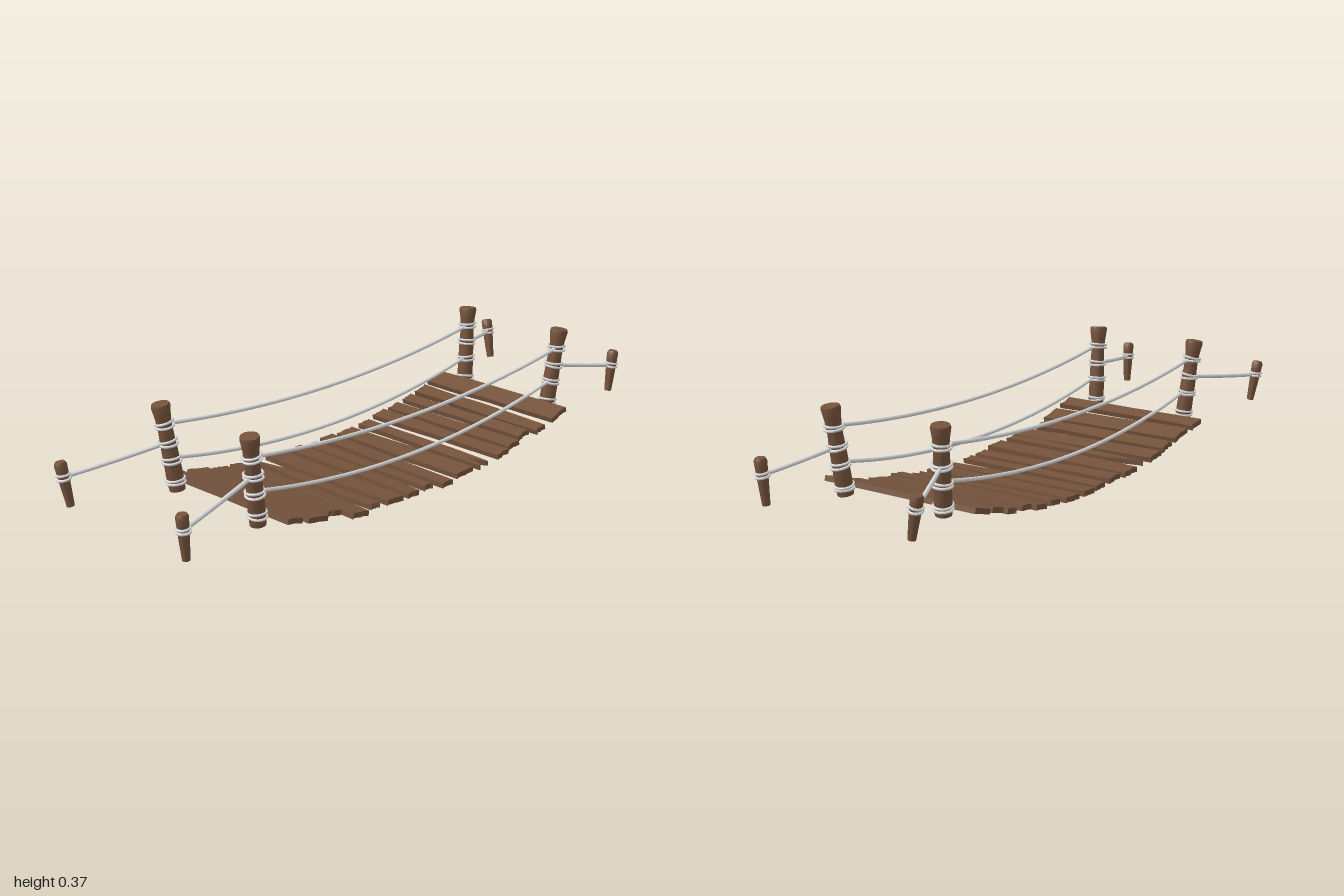
import * as THREE from 'three';
import { toCreasedNormals } from 'three/addons/utils/BufferGeometryUtils.js';

const wood = new THREE.MeshStandardMaterial({ color: 0x75533c });
wood.name = 'brown wood';
const rope = new THREE.MeshStandardMaterial({ color: 0xdadcdd });
rope.name = 'pale grey rope';

const UP = new THREE.Vector3(0, 1, 0);
const V = (a) => new THREE.Vector3(...a);

let seed = 11;
const jitter = (amount) => {
  seed = (seed * 16807) % 2147483647;
  return (seed / 2147483647 - 0.5) * 2 * amount;
};

function add(parent, name, geometry, material) {
  const mesh = new THREE.Mesh(geometry, material);
  mesh.name = name;
  parent.add(mesh);
  return mesh;
}

// Round timber leaning from a to b; profile is [radius, fraction of length]
function timber(parent, name, a, b, profile) {
  const length = a.distanceTo(b);
  const points = profile.map(([r, t]) => new THREE.Vector2(r, t * length));
  const geo = toCreasedNormals(new THREE.LatheGeometry(points, 14), 0.7);
  const mesh = add(parent, name, geo, wood);
  mesh.position.copy(a);
  mesh.quaternion.setFromUnitVectors(UP, b.clone().sub(a).normalize());
}

// Point on the line a-b at a given height
function atHeight(a, b, y) {
  return a.clone().lerp(b, (y - a.y) / (b.y - a.y));
}

// Two slightly crossed loops wound round a timber
function lashing(parent, a, b, y, radius) {
  const axis = b.clone().sub(a).normalize();
  for (const s of [-1, 1]) {
    const geo = new THREE.TorusGeometry(radius, 0.0042, 6, 20);
    geo.rotateX(Math.PI / 2 + jitter(0.1));
    geo.rotateZ(s * 0.05 + jitter(0.06));
    const ring = add(parent, 'lashing', geo, rope);
    ring.position.copy(atHeight(a, b, y + s * 0.006));
    ring.quaternion.setFromUnitVectors(UP, axis);
  }
}

// Rope from a to b hanging down by sag in the middle
function hangRope(parent, name, a, b, sag, radius) {
  const points = [];
  for (let i = 0; i <= 8; i++) {
    const t = i / 8;
    const p = a.clone().lerp(b, t);
    p.y -= sag * 4 * t * (1 - t);
    points.push(p);
  }
  const curve = new THREE.CatmullRomCurve3(points);
  add(parent, name, new THREE.TubeGeometry(curve, sag > 0.01 ? 28 : 4, radius, 8), rope);
}

const POST = [[0, 0], [0.025, 0], [0.027, 0.12], [0.0255, 0.45], [0.0225, 0.75],
  [0.0255, 0.86], [0.03, 0.97], [0.028, 1], [0, 1]];
const STAKE = [[0, 0], [0.012, 0], [0.0155, 0.4], [0.0185, 0.8], [0.0195, 0.94], [0.015, 1], [0, 1]];

// Corner timbers: post bottom and top, stake bottom and top
const CORNERS = [
  { post: [[-0.158, 0.08, 0.63], [-0.179, 0.36, 0.666]], stake: [[-0.245, 0.102, 0.962], [-0.263, 0.241, 0.978]] },
  { post: [[0.2, 0.075, 0.628], [0.215, 0.363, 0.666]], stake: [[0.28, 0.102, 0.965], [0.283, 0.243, 0.977]] },
  { post: [[-0.16, 0.085, -0.705], [-0.18, 0.358, -0.738]], stake: [[-0.258, 0.102, -0.965], [-0.293, 0.236, -0.98]] },
  { post: [[0.2, 0.085, -0.715], [0.214, 0.36, -0.754]], stake: [[0.277, 0.102, -0.966], [0.28, 0.245, -0.98]] },
];

// Planks, back to front: z, y, depth, left x, right x, roll
const PLANKS = [
  [-0.65, 0.099, 0.082, -0.257, 0.307, 0.003], [-0.56, 0.074, 0.05, -0.246, 0.304, -0.008],
  [-0.495, 0.06, 0.048, -0.25, 0.283, 0.008], [-0.426, 0.048, 0.046, -0.246, 0.294, -0.005],
  [-0.357, 0.038, 0.048, -0.257, 0.307, 0.008], [-0.273, 0.025, 0.048, -0.246, 0.296, -0.006],
  [-0.185, 0.019, 0.07, -0.25, 0.29, 0.006], [-0.098, 0.014, 0.056, -0.255, 0.296, -0.014],
  [-0.02, 0.017, 0.046, -0.246, 0.284, 0.006], [0.053, 0.021, 0.052, -0.25, 0.288, -0.008],
  [0.145, 0.026, 0.066, -0.256, 0.296, 0.006], [0.23, 0.031, 0.038, -0.243, 0.29, 0.008],
  [0.305, 0.036, 0.066, -0.25, 0.304, -0.008], [0.387, 0.052, 0.053, -0.243, 0.27, 0.006],
  [0.476, 0.07, 0.078, -0.243, 0.29, -0.006], [0.57, 0.092, 0.062, -0.25, 0.294, 0.006],
];
const THICK = 0.017;

// Plank outline with wavering long edges and splintered ends
function plankGeometry(x0, x1, depth, index) {
  const span = x1 - x0;
  const h0 = depth * (0.5 + jitter(0.06));
  const h1 = depth * (0.5 + jitter(0.06));
  const split = index === 5 ? [0, 0.012, 0.075, 0.03, 0.005] : null;
  const pointed = index === 11;
  const pts = [];
  for (let i = 0; i <= 4; i++) { // near edge
    const t = i / 4;
    const h = pointed && i === 0 ? 0.3 * h0 : h0 + (h1 - h0) * t;
    pts.push([x0 + span * t, -h + jitter(0.003)]);
  }
  for (let i = 0; i < 5; i++) { // right end
    pts.push([x1 - (split ? split[i] : Math.abs(jitter(0.008))), h1 * (-0.7 + 0.35 * i)]);
  }
  for (let i = 4; i >= 0; i--) { // far edge
    const t = i / 4;
    const h = pointed && i === 0 ? -0.1 * h0 : h0 + (h1 - h0) * t;
    pts.push([x0 + span * t + (pointed && i === 0 ? 0.02 : 0), h + jitter(0.003)]);
  }
  if (!pointed) { // left end
    for (let i = 0; i < 4; i++) pts.push([x0 + Math.abs(jitter(0.007)), h0 * (0.6 - 0.4 * i)]);
  }
  const shape = new THREE.Shape(pts.map(([x, y]) => new THREE.Vector2(x, y)));
  const geo = new THREE.ExtrudeGeometry(shape, { depth: THICK, bevelEnabled: false });
  geo.translate(0, 0, -THICK / 2);
  geo.rotateX(-Math.PI / 2);
  return geo;
}

export function createModel() {
  const model = new THREE.Group();
  model.name = 'ropeBridge';

  // Walkway following the sag
  const deck = new THREE.Group();
  deck.name = 'deck';
  model.add(deck);
  PLANKS.forEach(([z, y, depth, x0, x1, roll], i) => {
    const prev = PLANKS[Math.max(i - 1, 0)];
    const next = PLANKS[Math.min(i + 1, PLANKS.length - 1)];
    const pitch = -Math.atan2(next[1] - prev[1], next[0] - prev[0]);
    const plank = add(deck, 'plank', plankGeometry(x0, x1, depth, i), wood);
    plank.position.set(0, y, z);
    plank.rotation.set(pitch, jitter(0.018), roll);
  });

  // Corner posts, ground stakes, lashings and guy ropes
  const corners = CORNERS.map(({ post, stake }) => {
    const corner = new THREE.Group();
    corner.name = 'corner';
    model.add(corner);
    const [a, b] = post.map(V);
    const [c, d] = stake.map(V);
    timber(corner, 'post', a, b, POST);
    timber(corner, 'stake', c, d, STAKE);
    for (const y of [0.11, 0.18, 0.237, 0.296]) lashing(corner, a, b, y, 0.0285);
    lashing(corner, c, d, 0.195, 0.0195);
    hangRope(corner, 'guyRope', atHeight(a, b, 0.235), atHeight(c, d, 0.193), 0.002, 0.0068);
    return [a, b];
  });

  // Hand ropes and lower side ropes between the posts
  for (const [front, back] of [[0, 2], [1, 3]]) {
    for (const [name, y, sag] of [['handRope', 0.297, 0.053], ['sideRope', 0.186, 0.073]]) {
      const ends = [front, back].map((i) => atHeight(...corners[i], y));
      ends.forEach((p) => { p.x += 0.006; });
      hangRope(model, name, ...ends, sag, 0.0062);
    }
  }
  return model;
}
